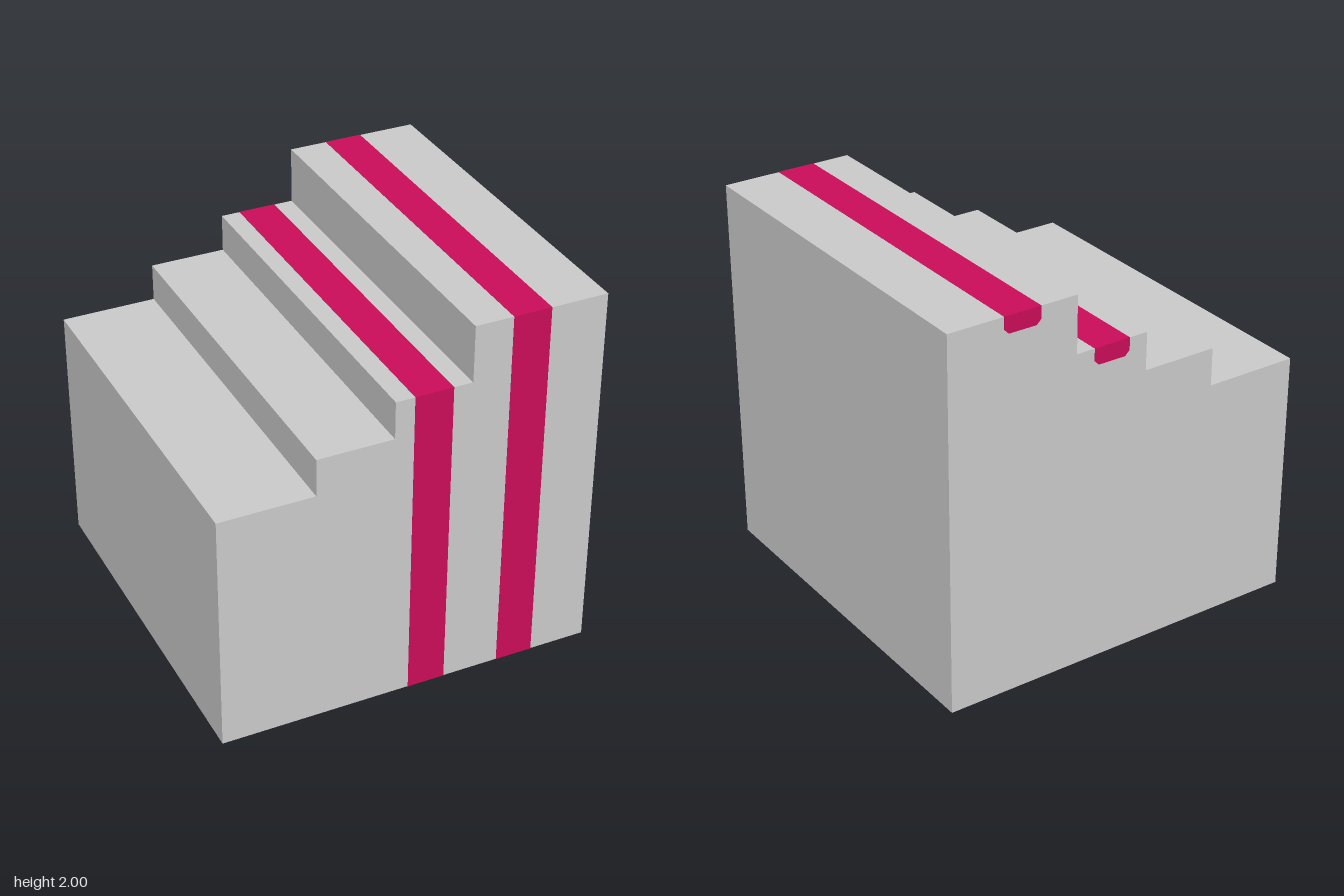
import * as THREE from 'three';

const PROUD = 0.001; // stripes stand just clear of the block faces

const grey = new THREE.MeshStandardMaterial({ color: 0xc9c9c9 });
grey.name = 'light grey';
const crimson = new THREE.MeshStandardMaterial({ color: 0xc90d58 });
crimson.name = 'crimson';

// Outline in x-y, extruded along z and centred on z = 0
function extrude(points, length) {
  const shape = new THREE.Shape(points.map(([x, y]) => new THREE.Vector2(x, y)));
  const geometry = new THREE.ExtrudeGeometry(shape, { depth: length, bevelEnabled: false });
  return geometry.translate(0, 0, -length / 2);
}

// Inlaid bar: flat outer face at y = 0, small chamfers on the buried edges
function bar(name, length) {
  const w = 0.1, d = 0.09, c = 0.025;
  const profile = [[-w, 0], [-w, c - d], [c - w, -d], [w - c, -d], [w, c - d], [w, 0]];
  const mesh = new THREE.Mesh(extrude(profile, length + 2 * PROUD), crimson);
  mesh.name = name;
  return mesh;
}

// Stripe running up the front face and back across a step of the given height
function stripe(name, x, height) {
  const group = new THREE.Group();
  group.name = name;
  const top = bar('topBar', 2);
  top.position.set(x, height + PROUD, 0);
  const front = bar('frontBar', height);
  front.rotation.x = Math.PI / 2;
  front.position.set(x, height / 2, 1 + PROUD);
  group.add(top, front);
  return group;
}

export function createModel() {
  const model = new THREE.Group();
  model.name = 'steppedBlock';

  // Block with four steps rising towards +x
  const body = new THREE.Mesh(extrude([
    [-1, 0], [1, 0], [1, 2], [0.3, 2], [0.3, 1.7], [-0.1, 1.7],
    [-0.1, 1.5], [-0.5, 1.5], [-0.5, 1.3], [-1, 1.3],
  ], 2), grey);
  body.name = 'steppedBody';

  model.add(body, stripe('lowerStripe', 0.1, 1.7), stripe('upperStripe', 0.6, 2));
  return model;
}
